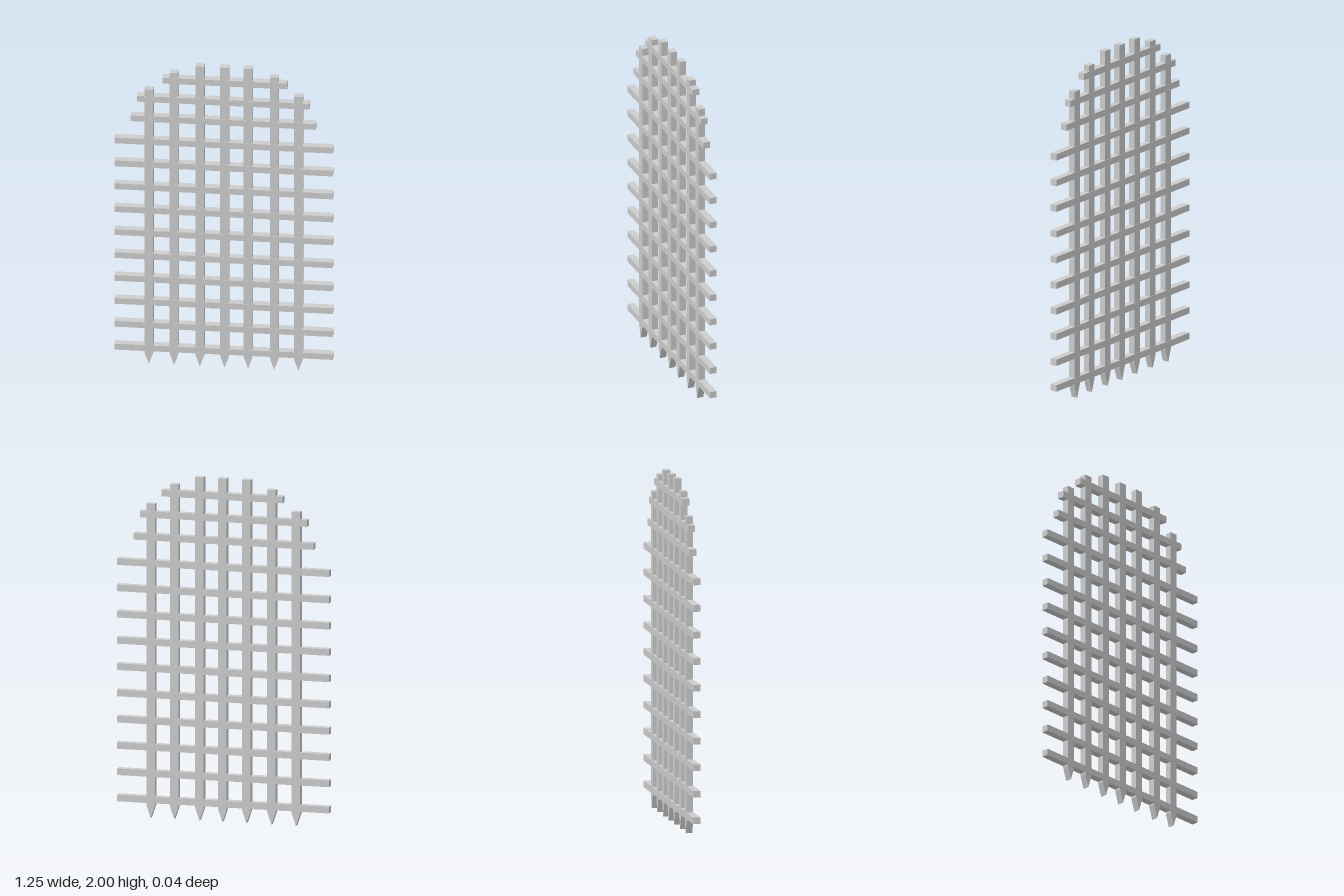
import * as THREE from 'three';

export function createModel() {
  const model = new THREE.Group();
  model.name = 'portcullis';
  const material = new THREE.MeshStandardMaterial({ color: 0xcccccc, flatShading: true });
  const postDepth = 0.038, barDepth = 0.041, barHeight = 0.038, halfWidth = 0.025;

  // Upright post ending in a wedge-shaped spike at the bottom
  function addPost(x, top) {
    const shape = new THREE.Shape([
      new THREE.Vector2(0, 0),
      new THREE.Vector2(halfWidth, 0.075),
      new THREE.Vector2(halfWidth, top),
      new THREE.Vector2(-halfWidth, top),
      new THREE.Vector2(-halfWidth, 0.075),
    ]);
    const geometry = new THREE.ExtrudeGeometry(shape, { depth: postDepth, bevelEnabled: false });
    geometry.translate(x, 0, -postDepth / 2);
    const post = new THREE.Mesh(geometry, material);
    post.name = 'spikedPost';
    model.add(post);
  }

  // Horizontal bar between two x positions
  function addBar(y, x0, x1, name) {
    const bar = new THREE.Mesh(new THREE.BoxGeometry(x1 - x0, barHeight, barDepth), material);
    bar.position.set((x0 + x1) / 2, y, 0);
    bar.name = name;
    model.add(bar);
  }

  // Posts, lower towards the sides to follow the arch
  [[-0.427, 1.83], [-0.283, 1.95], [-0.136, 2], [0.005, 2], [0.139, 2], [0.288, 1.95], [0.426, 1.83]]
    .forEach(([x, top]) => addPost(x, top));

  // Full-width bars, evenly spaced
  for (let i = 0; i < 10; i++) addBar(0.105 + i * 0.153, -0.623, 0.623, 'crossBar');

  // Shorter bars inside the arch
  [[1.635, -0.532, 0.526], [1.767, -0.493, 0.488], [1.896, -0.35, 0.363]]
    .forEach(([y, x0, x1]) => addBar(y, x0, x1, 'archBar'));

  return model;
}
